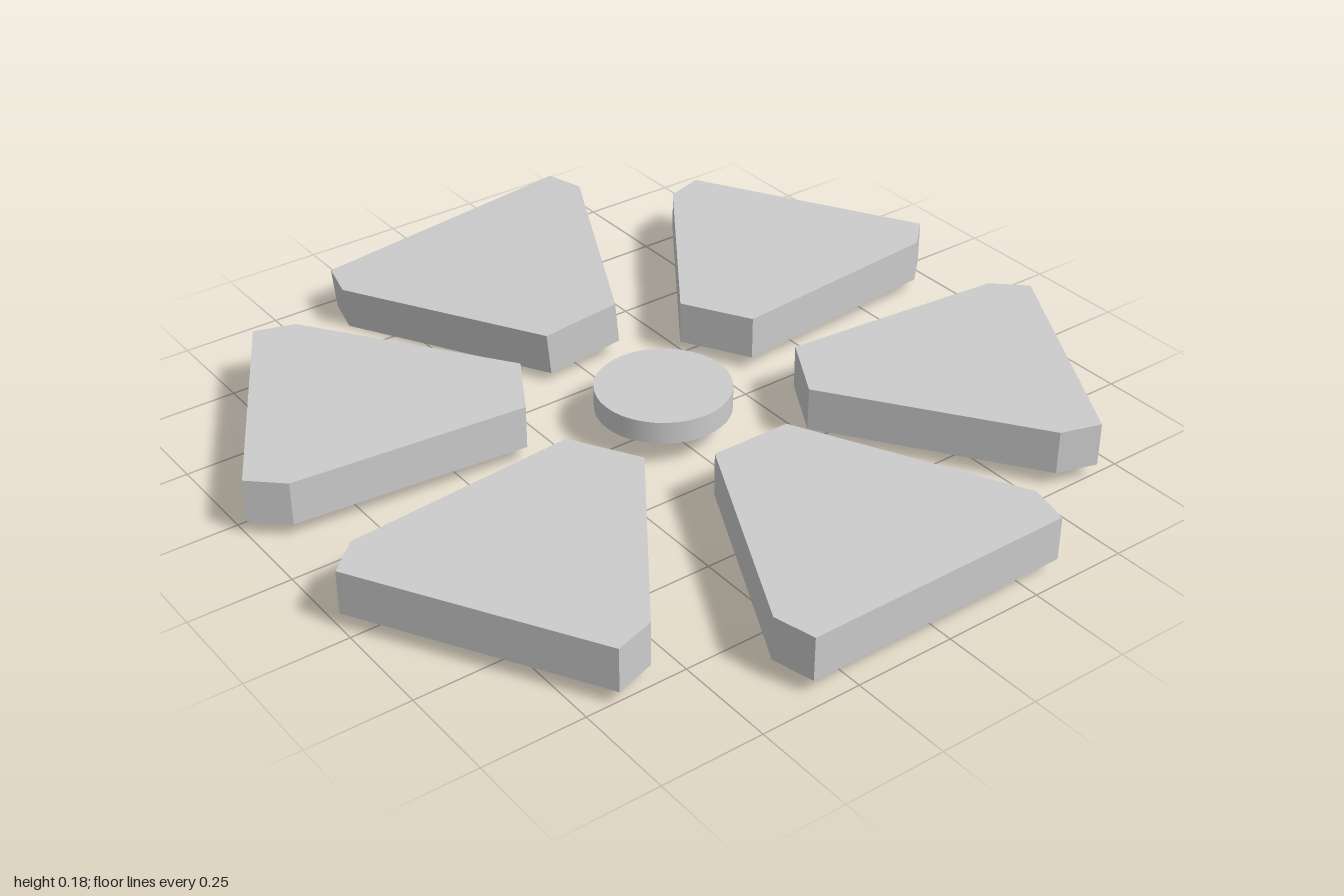
import * as THREE from 'three';

const material = new THREE.MeshStandardMaterial({ color: 0xcccccc });
const MID_Y = 0.09;
const THICKNESS = 0.11;

// Flat wedge pointing out along +x, with clipped outer corners, centred on y = 0
function wedgeGeometry(widthScale) {
  const half = [[0.33, 0.103], [0.863, 0.368], [0.966, 0.343]];
  const points = [
    ...half.map(([x, w]) => new THREE.Vector2(x, -w * widthScale)),
    ...half.map(([x, w]) => new THREE.Vector2(x, w * widthScale)).reverse(),
  ];
  const geometry = new THREE.ExtrudeGeometry(new THREE.Shape(points), {
    depth: THICKNESS, bevelEnabled: false,
  });
  return geometry.translate(0, 0, -THICKNESS / 2).rotateX(-Math.PI / 2);
}

export function createModel() {
  const model = new THREE.Group();
  model.name = 'segmentedRing';

  // Central disc
  const hub = new THREE.Mesh(new THREE.CylinderGeometry(0.165, 0.165, 0.057, 40), material);
  hub.name = 'hub';
  hub.position.y = 0.093;
  model.add(hub);

  // Six wedges around the hub; the two on the x axis are a little wider
  const wide = wedgeGeometry(1);
  const narrow = wedgeGeometry(0.936);
  for (let i = 0; i < 6; i++) {
    const wedge = new THREE.Mesh(i % 3 === 0 ? wide : narrow, material);
    wedge.name = `wedge${i + 1}`;
    // The wedge on the right is tipped about its own length
    const tilt = i === 3 ? THREE.MathUtils.degToRad(5.4) : 0;
    wedge.rotation.set(tilt, (i * Math.PI) / 3, 0);
    wedge.position.y = MID_Y;
    model.add(wedge);
  }
  return model;
}
